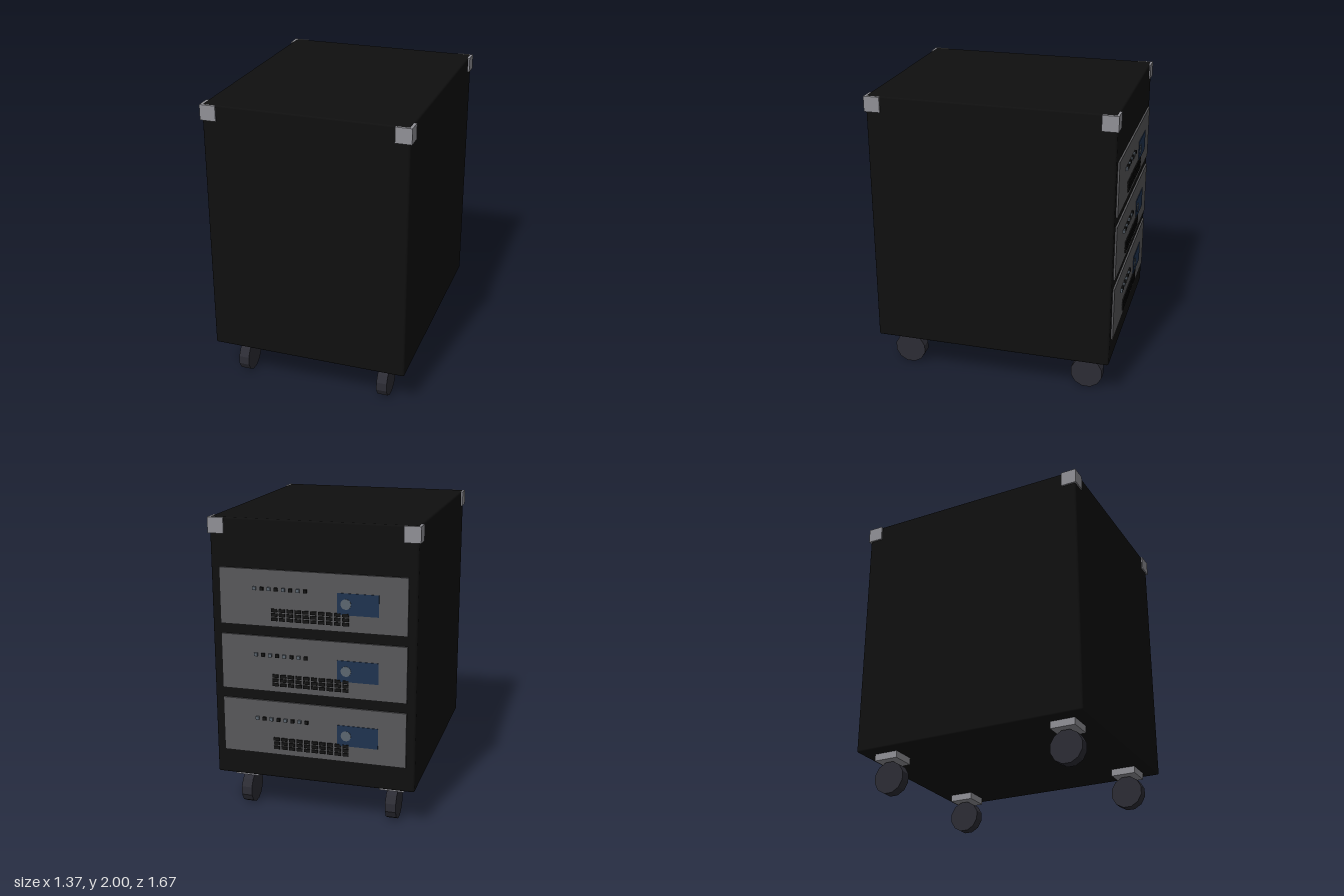
import * as THREE from 'three';
import { RoundedBoxGeometry } from 'three/addons/geometries/RoundedBoxGeometry.js';

const mat = (name, color, flat = false) => {
  const m = new THREE.MeshStandardMaterial({ color, flatShading: flat });
  m.name = name;
  return m;
};

export function createModel() {
  const black = mat('caseBlack', 0x0f0f0f);
  const metal = mat('bracketGrey', 0x909096);
  const rubber = mat('wheelRubber', 0x2c2c34, true);
  const face = mat('panelGrey', 0x58585a);
  const blue = mat('screenBlue', 0x1f3350);
  const dark = mat('ventBlack', 0x141414);
  const dialGrey = mat('dialGrey', 0x5c6670);

  const model = new THREE.Group();
  model.name = 'rackCabinet';

  const add = (parent, name, geo, material, x, y, z) => {
    const mesh = new THREE.Mesh(geo, material);
    mesh.name = name;
    mesh.position.set(x, y, z);
    parent.add(mesh);
    return mesh;
  };
  const box = (w, h, d) => new THREE.BoxGeometry(w, h, d);

  // Cabinet body with softened edges
  const midZ = 0.0095;
  add(model, 'cabinet', new RoundedBoxGeometry(1.35, 1.733, 1.631, 2, 0.012), black, 0, 1.1335, midZ);

  // Corner brackets and castors, mirrored to all four corners
  const bracketGeo = box(0.106, 0.102, 0.106);
  const plateGeo = box(0.168, 0.047, 0.168);
  const wheelGeo = new THREE.CylinderGeometry(0.111, 0.111, 0.072, 12);
  wheelGeo.rotateY(Math.PI / 12).rotateZ(Math.PI / 2);
  for (const sx of [-1, 1]) {
    for (const sz of [-1, 1]) {
      add(model, 'cornerBracket', bracketGeo, metal, sx * 0.634, 1.947, midZ + sz * 0.7715);
      const castor = new THREE.Group();
      castor.name = 'castor';
      castor.position.set(sx * 0.503, 0, midZ + sz * 0.642);
      add(castor, 'castorPlate', plateGeo, metal, 0, 0.2435, 0);
      add(castor, 'castorWheel', wheelGeo, rubber, 0, 0.1075, 0);
      model.add(castor);
    }
  }

  // Three equipment units on the back
  const ventGeo = box(0.04, 0.021, 0.01);
  const buttonGeo = box(0.022, 0.022, 0.014);
  const dialGeo = new THREE.CylinderGeometry(0.034, 0.034, 0.008, 16).rotateX(Math.PI / 2);
  for (let u = 0; u < 3; u++) {
    const unit = new THREE.Group();
    unit.name = 'equipmentUnit';
    unit.position.set(0, 0.622 + u * 0.4375, 0);
    model.add(unit);

    add(unit, 'unitPanel', box(1.234, 0.37, 0.022), face, 0, 0, -0.807);
    add(unit, 'unitScreen', box(0.27, 0.14, 0.008), blue, -0.299, -0.005, -0.818);
    add(unit, 'screenDial', dialGeo, dialGrey, -0.222, -0.005, -0.821);

    // Ventilation slots
    for (let r = 0; r < 3; r++) {
      for (let c = 0; c < 10; c++) {
        add(unit, 'ventSlot', ventGeo, dark, -0.22 + c * 0.0522, -0.076 - r * 0.029, -0.821);
      }
    }

    // Row of small buttons
    for (let i = 0; i < 8; i++) {
      add(unit, 'button', buttonGeo, i % 2 ? dialGrey : dark, 0.042 + i * 0.048, 0.062, -0.827);
    }
  }
  return model;
}
